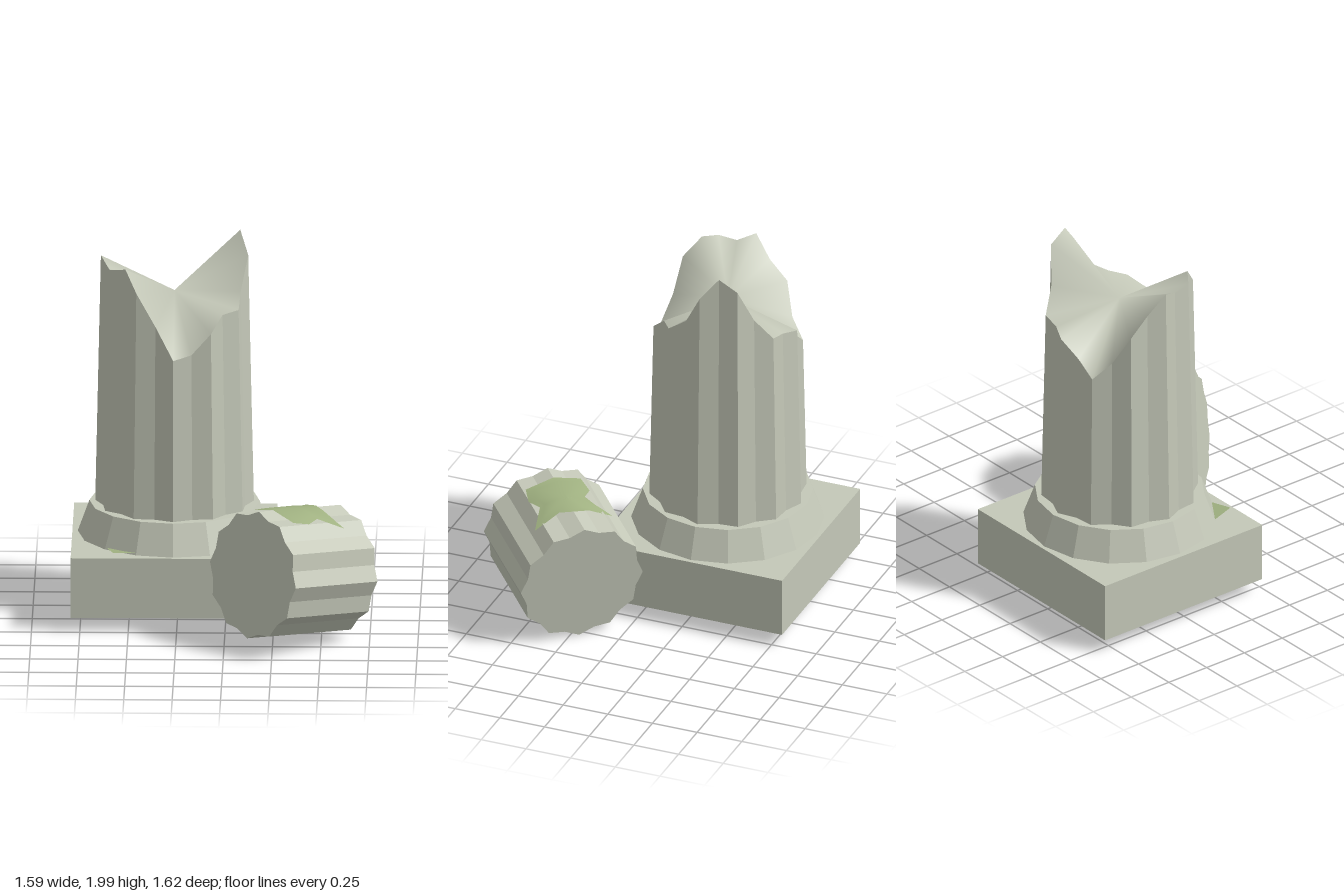
import * as THREE from 'three';

const STONE = 0xc4c8b8, MOSS = 0x9fb080, SEGMENTS = 24;

function mesh(name, geometry, color, flat = true) {
  const material = new THREE.MeshStandardMaterial({ color, flatShading: flat, side: THREE.DoubleSide });
  const m = new THREE.Mesh(geometry, material);
  m.name = name;
  return m;
}

function buildGeometry(points, index) {
  const g = new THREE.BufferGeometry().setFromPoints(points);
  g.setIndex(index);
  g.computeVertexNormals();
  return g;
}

// Star-shaped ring: twelve sharp ridges with a shallow groove between each pair
function flutedRing(radius, heightAt) {
  return Array.from({ length: SEGMENTS }, (_, i) => {
    const a = (i / SEGMENTS) * Math.PI * 2;
    const r = radius * (i % 2 ? 0.925 : 1);
    return new THREE.Vector3(r * Math.sin(a), heightAt(i), r * Math.cos(a));
  });
}

// Side faces between two rings
function wall(lower, upper) {
  const n = lower.length, index = [];
  for (let i = 0; i < n; i++) {
    const j = (i + 1) % n;
    index.push(i, j, n + j, i, n + j, n + i);
  }
  return buildGeometry([...lower, ...upper], index);
}

// Fan closing a ring
function cap(ring, centreY, up = true) {
  const n = ring.length, index = [];
  for (let i = 0; i < n; i++) {
    const j = (i + 1) % n;
    index.push(n, up ? i : j, up ? j : i);
  }
  return buildGeometry([...ring, new THREE.Vector3(0, centreY, 0)], index);
}

// Thin patch: an outline shrunk in steps to its centre and draped over heightAt(x, z)
function patch(outline, heightAt, steps = 5) {
  const n = outline.length, points = [], index = [];
  const cx = outline.reduce((s, p) => s + p[0], 0) / n;
  const cz = outline.reduce((s, p) => s + p[1], 0) / n;
  for (let k = 0; k <= steps; k++) {
    for (const [px, pz] of outline) {
      const t = k / steps, x = cx + (px - cx) * t, z = cz + (pz - cz) * t;
      points.push(new THREE.Vector3(x, heightAt(x, z), z));
    }
  }
  for (let k = 0; k < steps; k++) {
    for (let i = 0; i < n; i++) {
      const j = (i + 1) % n, a = k * n, b = a + n;
      index.push(a + i, b + i, b + j);
      if (k > 0) index.push(a + i, b + j, a + j);
    }
  }
  return buildGeometry(points, index);
}

export function createModel() {
  const model = new THREE.Group();
  model.name = 'brokenColumn';
  const CX = -0.27, CZ = -0.29;

  // Square plinth, open underneath
  const box = new THREE.BoxGeometry(1.05, 0.32, 1.04);
  const faces = Array.from(box.index.array);
  faces.splice(18, 6);
  box.setIndex(faces);
  box.clearGroups();
  const plinth = mesh('plinth', box, STONE);
  plinth.position.set(-0.273, 0.245, -0.29);
  model.add(plinth);

  // Sixteen-sided sloping base ring
  const base = mesh('baseRing', new THREE.CylinderGeometry(0.44, 0.5, 0.165, 16), STONE);
  base.position.set(CX, 0.4875, CZ);
  model.add(base);

  // Tapered fluted shaft with a jagged broken top
  const breakHeights = [
    1.43, 1.45, 1.56, 1.64, 1.65, 1.72, 1.89, 2.0, 1.94, 1.75, 1.63, 1.61,
    1.59, 1.5, 1.42, 1.51, 1.67, 1.77, 1.885, 1.845, 1.86, 1.88, 1.775, 1.6,
  ];
  const shaft = new THREE.Group();
  shaft.name = 'shaft';
  shaft.position.set(CX, 0, CZ);
  const foot = flutedRing(0.41, () => 0.56);
  const rim = flutedRing(1, (i) => breakHeights[i]);
  for (const p of rim) {
    const r = 0.41 - 0.022 * (p.y - 0.56);
    p.x *= r;
    p.z *= r;
  }
  shaft.add(mesh('shaftFlutes', wall(foot, rim), STONE));
  shaft.add(mesh('brokenTop', cap(rim, 1.7), STONE, false));
  model.add(shaft);

  // Fallen drum leaning on the plinth
  const start = new THREE.Vector3(0.15, 0.415, 0.56);
  const end = new THREE.Vector3(0.565, 0.345, 0.18);
  const length = start.distanceTo(end);
  const axis = end.clone().sub(start).normalize();
  const up = new THREE.Vector3(0, 1, 0).addScaledVector(axis, -axis.y).normalize();
  const side = axis.clone().cross(up);
  const drum = new THREE.Group();
  drum.name = 'fallenDrum';
  const near = flutedRing(0.335, () => 0), far = flutedRing(0.335, () => length);
  drum.add(mesh('drumFlutes', wall(near, far), STONE));
  drum.add(mesh('drumFrontEnd', cap(near, 0, false), STONE));
  drum.add(mesh('drumBackEnd', cap(far, length), STONE));
  drum.quaternion.setFromRotationMatrix(new THREE.Matrix4().makeBasis(side, axis, up));
  drum.position.copy(start);
  model.add(drum);

  // Moss draped over the drum
  const mid = start.clone().add(end).multiplyScalar(0.5);
  const flat = new THREE.Vector2(axis.x, axis.z).normalize();
  const drumTop = (x, z) => {
    const dx = x - mid.x, dz = z - mid.z;
    const along = dx * flat.x + dz * flat.y, across = dx * flat.y - dz * flat.x;
    return mid.y - 0.125 * along + Math.sqrt(0.342 ** 2 - across ** 2);
  };
  const drumMoss = [
    [0.32, 0.11], [0.42, 0.2], [0.47, 0.25], [0.51, 0.33], [0.62, 0.42], [0.48, 0.45],
    [0.44, 0.53], [0.36, 0.58], [0.25, 0.47], [0.15, 0.36], [0.22, 0.28], [0.31, 0.27], [0.335, 0.2],
  ];
  model.add(mesh('drumMoss', patch(drumMoss.reverse(), drumTop), MOSS, false));

  // Moss sheet under the base ring, curling up at its outer corner
  const baseMoss = [[-0.58, 0.195], [-0.29, 0.12], [-0.01, 0.03], [-0.1, -0.4], [-0.4, -0.3], [-0.67, -0.2], [-0.61, 0.08]];
  const sag = (x, z) => 0.385 + 0.04 * (((x - CX) ** 2 + (z - CZ) ** 2) / 0.33);
  model.add(mesh('baseMoss', patch(baseMoss, sag), MOSS, false));

  return model;
}
